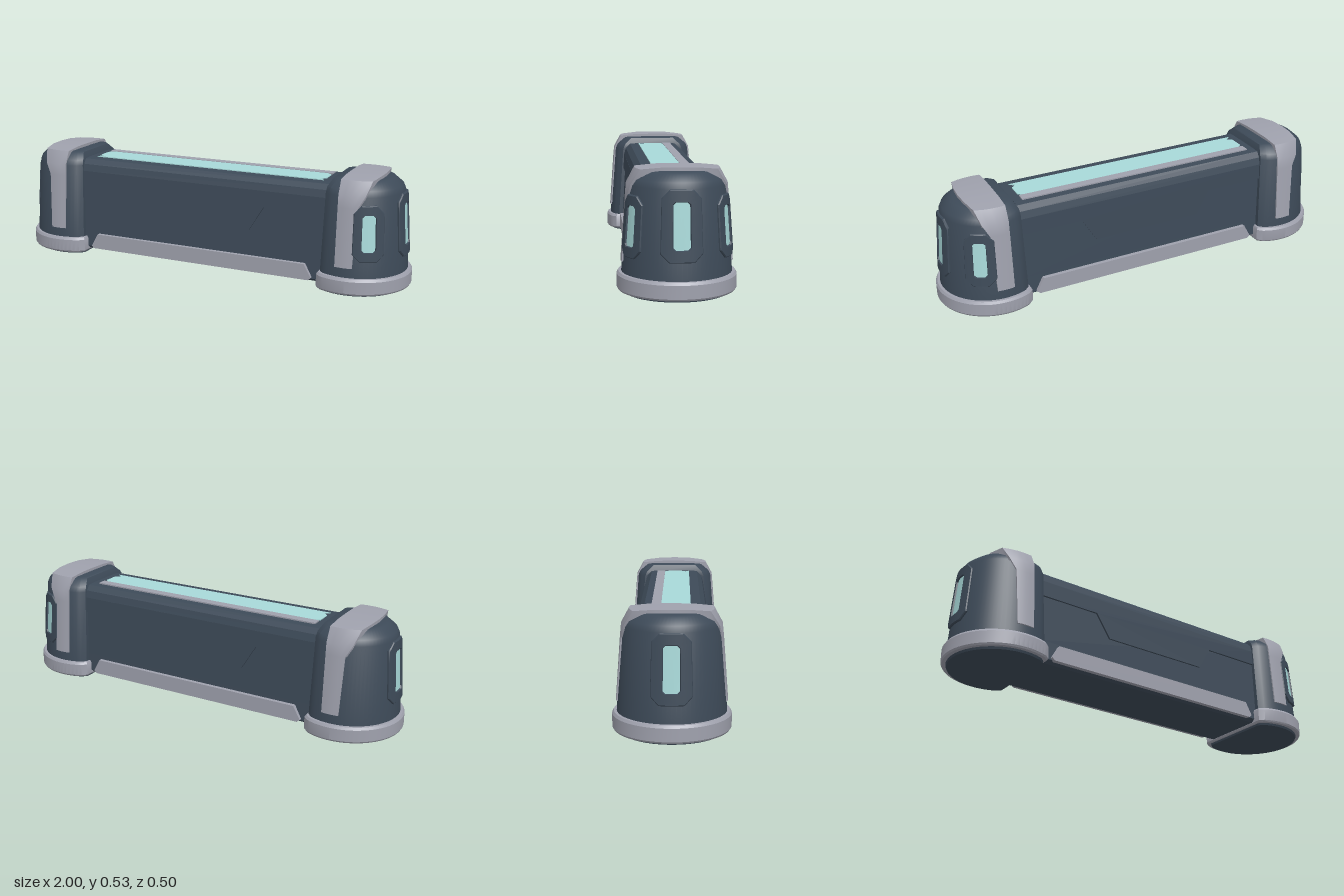
import * as THREE from 'three';
import { toCreasedNormals } from 'three/addons/utils/BufferGeometryUtils.js';

const material = (name, color) => Object.assign(new THREE.MeshStandardMaterial({ color }), { name });

// Skin a list of rows of [x, y, z] points
function skin(rows, closed) {
  const n = rows[0].length, index = [];
  for (let i = 0; i < rows.length - 1; i++) {
    for (let j = 0; j < (closed ? n : n - 1); j++) {
      const k = (j + 1) % n, a = i * n + j, b = i * n + k, c = b + n, d = a + n;
      index.push(a, d, b, b, d, c);
    }
  }
  const g = new THREE.BufferGeometry();
  g.setAttribute('position', new THREE.Float32BufferAttribute(rows.flat(2), 3));
  g.setIndex(index);
  return toCreasedNormals(g, 0.55);
}

// Round plan with a flat inner side at x = -c and trimmed corners
function planRing(r, c, y, scale = 1) {
  const ring = [], cut = 0.022, end = Math.acos(-(c - cut) / r), n = 48;
  for (let i = 0; i <= n; i++) {
    const a = -end + (2 * end * i) / n;
    ring.push([r * Math.cos(a) * scale, y, r * Math.sin(a) * scale]);
  }
  const z = (r * Math.sin(end) - cut) * scale;
  ring.push([-c * scale, y, z], [-c * scale, y, -z]);
  return ring;
}
const planSolid = (levels) => skin(levels.map((l) => planRing(...l)), true);

// Corners of a chamfered rectangle, each edge subdivided
function octagon(w, y0, y1, cut) {
  const p = [[w, y0 + cut], [w, y1 - cut], [w - cut, y1], [cut - w, y1],
    [-w, y1 - cut], [-w, y0 + cut], [cut - w, y0], [w - cut, y0]];
  return p.flatMap((a, i) => {
    const b = p[(i + 1) % 8];
    return [0, 0.25, 0.5, 0.75].map((t) => [a[0] + (b[0] - a[0]) * t, a[1] + (b[1] - a[1]) * t]);
  });
}

// Lay a flat point onto the tapered wall of the post
function wrap([u, v], off, angle) {
  const r = 0.232 - ((v - 0.085) * 0.027) / 0.365 + off, a = angle + u / 0.22;
  return [r * Math.cos(a), v, r * Math.sin(a)];
}

export function createModel() {
  const dark = material('dark slate', 0x3d4a58);
  const grey = material('light grey', 0x9fa1ad);
  const glow = material('pale cyan', 0xa8d9d9);
  const model = new THREE.Group();
  model.name = 'barrier';

  const add = (parent, name, geo, mat) => {
    const m = new THREE.Mesh(geo, mat);
    m.name = name;
    parent.add(m);
    return m;
  };

  // Raised frame with a recessed light
  function lightPanel(parent, angle, w, y0, y1, lw, ly0, ly1) {
    const outer = octagon(w, y0, y1, 0.035), inner = octagon(lw, ly0, ly1, 0.01);
    const mix = (t) => outer.map((p, i) => [p[0] + (inner[i][0] - p[0]) * t, p[1] + (inner[i][1] - p[1]) * t]);
    const row = (loop, off) => loop.map((p) => wrap(p, off, angle));
    add(parent, 'lightFrame', skin([row(outer, -0.006), row(outer, 0.006), row(mix(0.08), 0.01),
      row(mix(0.35), 0.01), row(mix(0.65), 0.01), row(mix(0.95), 0.01), row(inner, 0.002)], true), dark);
    const middle = octagon(0.006, ly0 + 0.02, ly1 - 0.02, 0.003);
    add(parent, 'light', skin([row(inner, 0.003), row(middle, 0.003), row(middle.map((p) => [0, p[1]]), 0.003)], true), glow);
  }

  // Grey strap running up the front, over the top and down the back
  function strap() {
    const half = [[0.2, 0.13, 0.04], [0.235, 0.13, 0.04], [0.215, 0.4, 0.05], [0.21, 0.455, 0.08],
      [0.176, 0.518, 0.1], [0.09, 0.526, 0.115]];
    const arch = [...half, [0, 0.527, 0.12], ...half.slice().reverse().map(([z, y, x]) => [-z, y, x])];
    const rows = arch.map(([z, y, xo]) => [0, 0, 0.25, 0.5, 0.75, 1, 1].map((t, i) => {
      const x = xo + (-0.04 - xo) * t, tuck = i === 0 || i === 6;
      const curved = z * Math.sqrt(1 - (x / 0.22) ** 2);
      return [x, y - (tuck && y > 0.42 ? 0.05 : 0), curved * (tuck ? 0.85 : 1)];
    }));
    return skin(rows, false);
  }

  // End posts; only the left one carries the two diagonal lights
  for (const side of [1, -1]) {
    const post = new THREE.Group();
    post.name = side > 0 ? 'leftPost' : 'rightPost';
    post.position.x = side * 0.749;
    if (side < 0) post.rotation.y = Math.PI;
    add(post, 'postBody', planSolid([
      [0.232, 0.12, 0.08], [0.205, 0.112, 0.45], [0.194, 0.109, 0.475],
      [0.155, 0.092, 0.508], [0.14, 0.085, 0.512], [0.14, 0.085, 0.514, 0]]), dark);
    add(post, 'baseRing', planSolid([
      [0.225, 0.115, 0.01], [0.246, 0.128, 0.01], [0.251, 0.133, 0.018],
      [0.251, 0.133, 0.074], [0.244, 0.127, 0.085], [0.22, 0.11, 0.086]]), grey);
    add(post, 'footPlate', planSolid([
      [0.225, 0.118, 0, 0], [0.225, 0.118, 0], [0.23, 0.12, 0.012]]), dark);
    add(post, 'strap', strap(), grey);
    lightPanel(post, 0, 0.084, 0.16, 0.45, 0.034, 0.21, 0.4);
    if (side > 0) {
      for (const s of [1, -1]) lightPanel(post, s * 1.09, 0.07, 0.16, 0.415, 0.03, 0.205, 0.37);
    }
    model.add(post);
  }

  // Beam between the posts
  const shapeOf = (pts) => new THREE.Shape(pts.map(([x, y]) => new THREE.Vector2(x, y)));
  const mirrored = (pts) => [...pts, ...pts.slice().reverse().map(([x, y]) => [-x, y])];
  const section = mirrored([[0.15, 0.02], [0.17, 0.035], [0.165, 0.12], [0.15, 0.4],
    [0.158, 0.42], [0.148, 0.455], [0.125, 0.478], [0.09, 0.481]]);
  const beam = new THREE.ExtrudeGeometry(shapeOf(section), { depth: 1.28, bevelEnabled: false });
  beam.rotateY(Math.PI / 2).translate(-0.64, 0, 0);
  add(model, 'beam', beam, dark);

  // Stepped upper panel and lower trim on both long sides
  for (const side of [1, -1]) {
    const face = new THREE.Group();
    face.name = side > 0 ? 'frontFace' : 'backFace';
    if (side < 0) face.rotation.y = Math.PI;
    const panel = new THREE.ExtrudeGeometry(shapeOf(mirrored([[0.27, 0.23], [0.34, 0.345],
      [0.635, 0.345], [0.635, 0.421]])), { depth: 0.014, bevelEnabled: false });
    const p = panel.attributes.position;
    for (let i = 0; i < p.count; i++) p.setZ(i, p.getZ(i) + 0.159 - 0.05 * (p.getY(i) - 0.12));
    panel.computeVertexNormals();
    add(face, 'upperPanel', panel, dark);
    const trim = new THREE.ExtrudeGeometry(shapeOf(mirrored([[0.57, 0.03], [0.585, 0.042],
      [0.55, 0.105]])), { depth: 0.025, bevelEnabled: false });
    add(face, 'lowerTrim', trim.translate(0, 0, 0.16), grey);
    model.add(face);
  }

  // Top light strip with a grey rail behind it
  const strip = new THREE.ExtrudeGeometry(shapeOf(mirrored([[0.6, -0.08], [0.575, -0.06],
    [0.6, -0.04], [0.6, 0.03], [0.575, 0.05]])), { depth: 0.006, bevelEnabled: false });
  add(model, 'topLight', strip.rotateX(-Math.PI / 2).translate(0, 0.479, 0), glow);
  const rail = new THREE.BoxGeometry(1.2, 0.008, 0.042);
  add(model, 'topRail', rail.translate(0, 0.483, -0.071), grey);

  return model;
}
